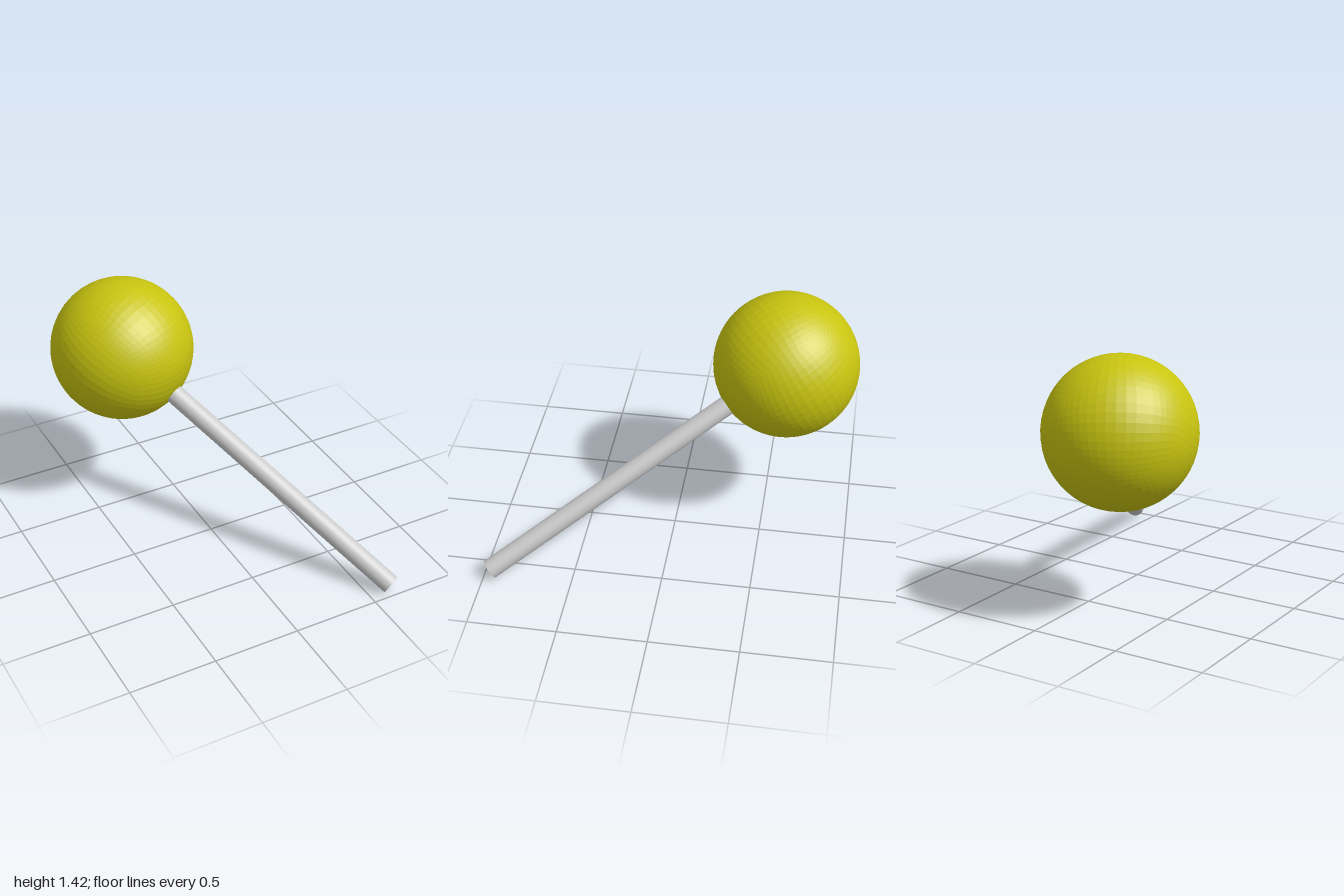
import * as THREE from 'three';

const CENTRE = new THREE.Vector3(-0.266, 1.01, -0.59); // middle of the ball
const TIP = new THREE.Vector3(0.624, 0.05, 0.964); // free end of the stick
const BALL_RADIUS = 0.41;
const STICK_RADIUS = 0.056;

// Sphere made of an even quad grid: a divided cube pushed out to the radius
function quadSphere(radius, segments) {
  const geometry = new THREE.BoxGeometry(2, 2, 2, segments, segments, segments);
  const position = geometry.attributes.position;
  const p = new THREE.Vector3();
  for (let i = 0; i < position.count; i++) {
    p.fromBufferAttribute(position, i).setLength(radius);
    position.setXYZ(i, p.x, p.y, p.z);
  }
  geometry.computeVertexNormals();
  return geometry;
}

export function createModel() {
  const model = new THREE.Group();
  model.name = 'lollipop';

  // Faceted candy ball
  const ball = new THREE.Mesh(
    quadSphere(BALL_RADIUS, 16),
    new THREE.MeshStandardMaterial({ color: 0xc8c410, flatShading: true })
  );
  ball.name = 'candyBall';

  // Stick along +z, its inner end buried in the ball
  const inner = BALL_RADIUS * 0.75;
  const outer = CENTRE.distanceTo(TIP);
  const stick = new THREE.Mesh(
    new THREE.CylinderGeometry(STICK_RADIUS, STICK_RADIUS, outer - inner, 32)
      .rotateX(Math.PI / 2)
      .translate(0, 0, (inner + outer) / 2),
    new THREE.MeshStandardMaterial({ color: 0xcccccc })
  );
  stick.name = 'stick';

  // Tilt both parts so the stick points down to its tip
  const tilted = new THREE.Group();
  tilted.name = 'tiltedLollipop';
  tilted.add(ball, stick);
  tilted.position.copy(CENTRE);
  tilted.lookAt(TIP);
  model.add(tilted);
  return model;
}
